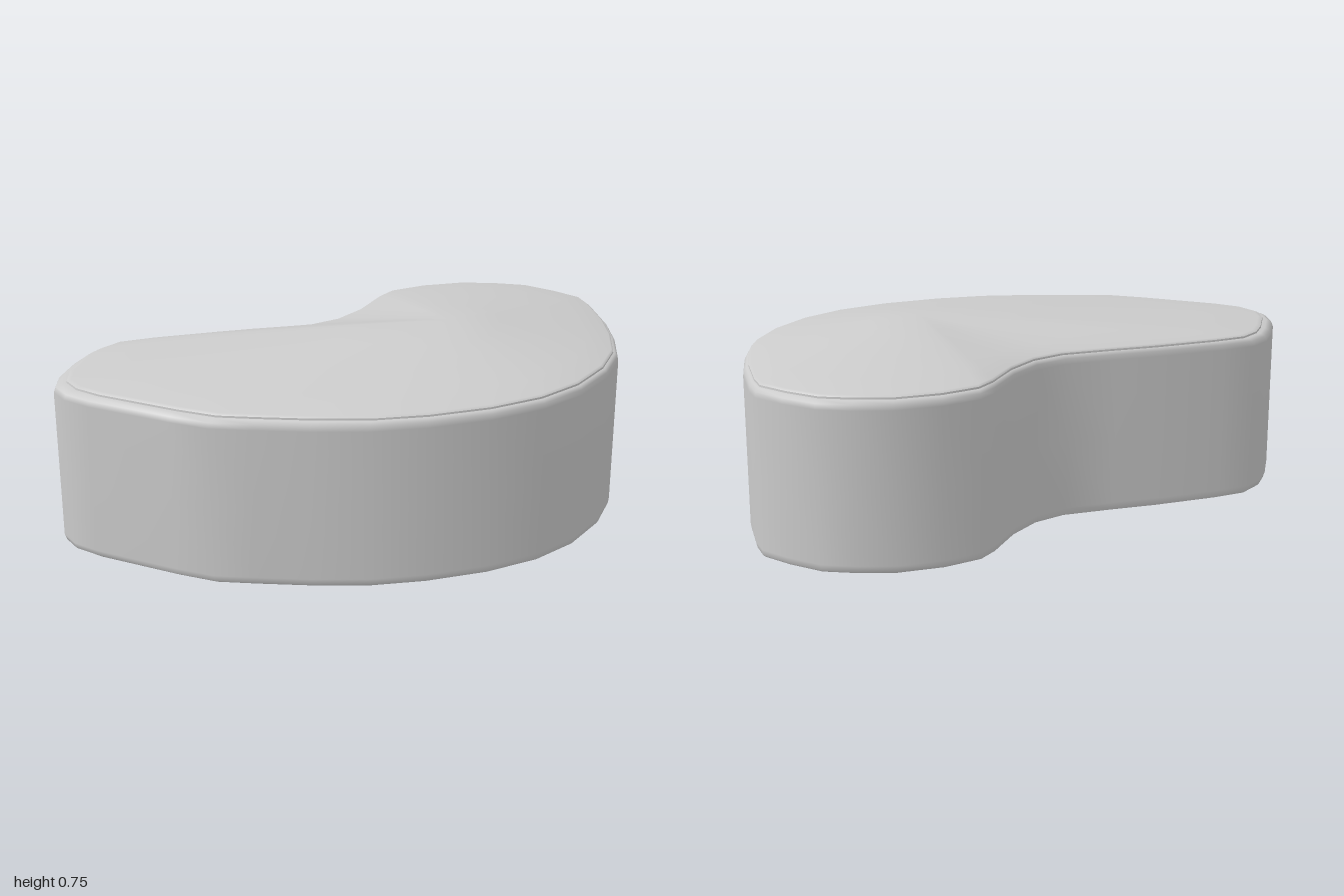
import * as THREE from 'three';
import { mergeVertices } from 'three/addons/utils/BufferGeometryUtils.js';

// Kidney-shaped plan outline (x, z), clockwise seen from above
const outline = [
  [-0.22, -0.14], [-0.12, -0.23], [-0.05, -0.36], [0, -0.53], [0.04, -0.61], [0.16, -0.70],
  [0.32, -0.77], [0.46, -0.79], [0.59, -0.79], [0.72, -0.74], [0.83, -0.68], [0.87, -0.61],
  [0.94, -0.43], [0.98, -0.27], [1, -0.1], [0.97, 0.07], [0.89, 0.25], [0.77, 0.40],
  [0.60, 0.53], [0.39, 0.64], [0.2, 0.71], [0, 0.75], [-0.2, 0.775], [-0.35, 0.79],
  [-0.5, 0.765], [-0.82, 0.69], [-0.92, 0.65], [-0.98, 0.59], [-1, 0.5], [-0.99, 0.36],
  [-0.97, 0.27], [-0.92, 0.19], [-0.8, 0.12], [-0.57, 0.01], [-0.4, -0.06],
];
const apex = [0.36, -0.03]; // peak of the seat, and centre of every inset

const material = new THREE.MeshStandardMaterial({ color: 0xcccccc });

// Stacks scaled copies of the outline; profile = [scale, y] pairs
function loft(name, profile) {
  const n = outline.length, positions = [], index = [];
  for (const [s, y] of profile) {
    for (const [x, z] of outline) {
      positions.push(apex[0] + (x - apex[0]) * s, y, apex[1] + (z - apex[1]) * s);
    }
  }
  for (let r = 0; r < profile.length - 1; r++) {
    for (let i = 0; i < n; i++) {
      const a = r * n + i, b = r * n + (i + 1) % n;
      if (profile[r + 1][0] > 0) index.push(a, a + n, b + n);
      if (profile[r][0] > 0) index.push(a, b + n, b);
    }
  }
  let geometry = new THREE.BufferGeometry();
  geometry.setAttribute('position', new THREE.Float32BufferAttribute(positions, 3));
  geometry.setIndex(index);
  geometry = mergeVertices(geometry);
  geometry.computeVertexNormals();
  const mesh = new THREE.Mesh(geometry, material);
  mesh.name = name;
  return mesh;
}

export function createModel() {
  const group = new THREE.Group();
  group.name = 'kidneyOttoman';
  group.add(
    // Flat underside
    loft('underside', [[0, 0], [0.985, 0]]),
    // Upholstered wall with softened bottom and top edges
    loft('body', [[0.985, 0], [0.995, 0.008], [1, 0.03], [1, 0.3], [1, 0.605],
      [0.994, 0.625], [0.98, 0.637], [0.955, 0.638]]),
    // Low domed seat panel rising to an off-centre peak
    loft('seatPanel', [[0.968, 0.638], [0.967, 0.645]]),
    loft('seatTop', [[0.967, 0.645], [0.955, 0.652], [0.8, 0.673], [0.56, 0.7], [0.3, 0.726], [0, 0.753]]),
  );
  return group;
}
